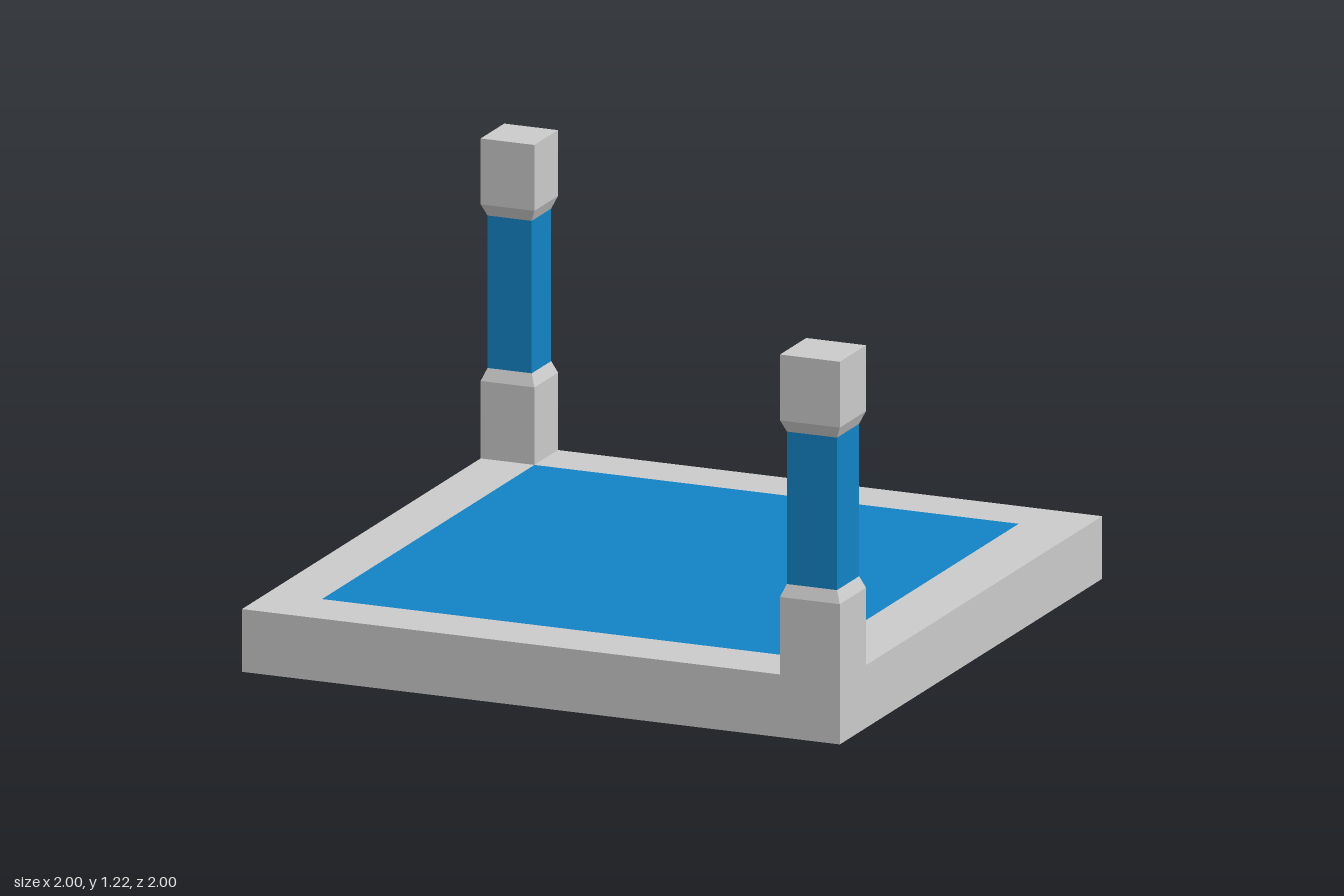
import * as THREE from 'three';

const grey = new THREE.MeshStandardMaterial({ color: 0xcccccc, flatShading: true });
const blue = new THREE.MeshStandardMaterial({ color: 0x1284c6, flatShading: true });

const BASE_H = 0.2;
const LO = -0.82, HI = 0.8; // inner edges of the frame, same in x and z

function addMesh(parent, name, geometry, material) {
  const mesh = new THREE.Mesh(geometry, material);
  mesh.name = name;
  parent.add(mesh);
  return mesh;
}

// Square section between two heights, with its own width at each end
function squareSection(w0, w1, y0, y1, open = true) {
  const g = new THREE.CylinderGeometry(w1 / Math.SQRT2, w0 / Math.SQRT2, y1 - y0, 4, 1, open);
  return g.rotateY(Math.PI / 4).translate(0, (y0 + y1) / 2, 0);
}

// Corner post: grey foot and head, bevelled in to a slimmer blue shaft
function createPost(name, width) {
  const post = new THREE.Group();
  post.name = name;
  const slim = width - 0.032;
  addMesh(post, 'foot', squareSection(width, width, BASE_H, 0.447), grey);
  addMesh(post, 'footBevel', squareSection(width, slim, 0.447, 0.486), grey);
  addMesh(post, 'shaft', squareSection(slim, slim, 0.486, 0.972), blue);
  addMesh(post, 'headBevel', squareSection(slim, width, 0.972, 1.01), grey);
  addMesh(post, 'head', squareSection(width, width, 1.01, 1.22, false), grey);
  return post;
}

function rectangle(path, x0, y0, x1, y1) {
  path.moveTo(x0, y0).lineTo(x1, y0).lineTo(x1, y1).lineTo(x0, y1).closePath();
  return path;
}

export function createModel() {
  const model = new THREE.Group();
  model.name = 'platformWithPosts';

  // Square frame, slightly narrower along the back and the -x side
  const outline = rectangle(new THREE.Shape(), -1, -1, 1, 1);
  outline.holes.push(rectangle(new THREE.Path(), LO, -HI, HI, -LO));
  const frame = new THREE.ExtrudeGeometry(outline, { depth: BASE_H, bevelEnabled: false });
  addMesh(model, 'frame', frame.rotateX(-Math.PI / 2), grey);

  // Blue panels flush with the top and bottom of the frame
  const size = HI - LO, mid = (HI + LO) / 2;
  for (const [name, y, turn] of [['topPanel', BASE_H, -1], ['bottomPanel', 0, 1]]) {
    const panel = new THREE.PlaneGeometry(size, size).rotateX(turn * Math.PI / 2);
    addMesh(model, name, panel, blue).position.set(mid, y, mid);
  }

  // Two posts on opposite corners, each as wide as the frame there
  const frontPost = createPost('frontLeftPost', 1 - HI);
  frontPost.position.set((1 + HI) / 2, 0, (1 + HI) / 2);
  const backPost = createPost('backRightPost', 1 + LO);
  backPost.position.set((LO - 1) / 2, 0, (LO - 1) / 2);
  model.add(frontPost, backPost);

  return model;
}
